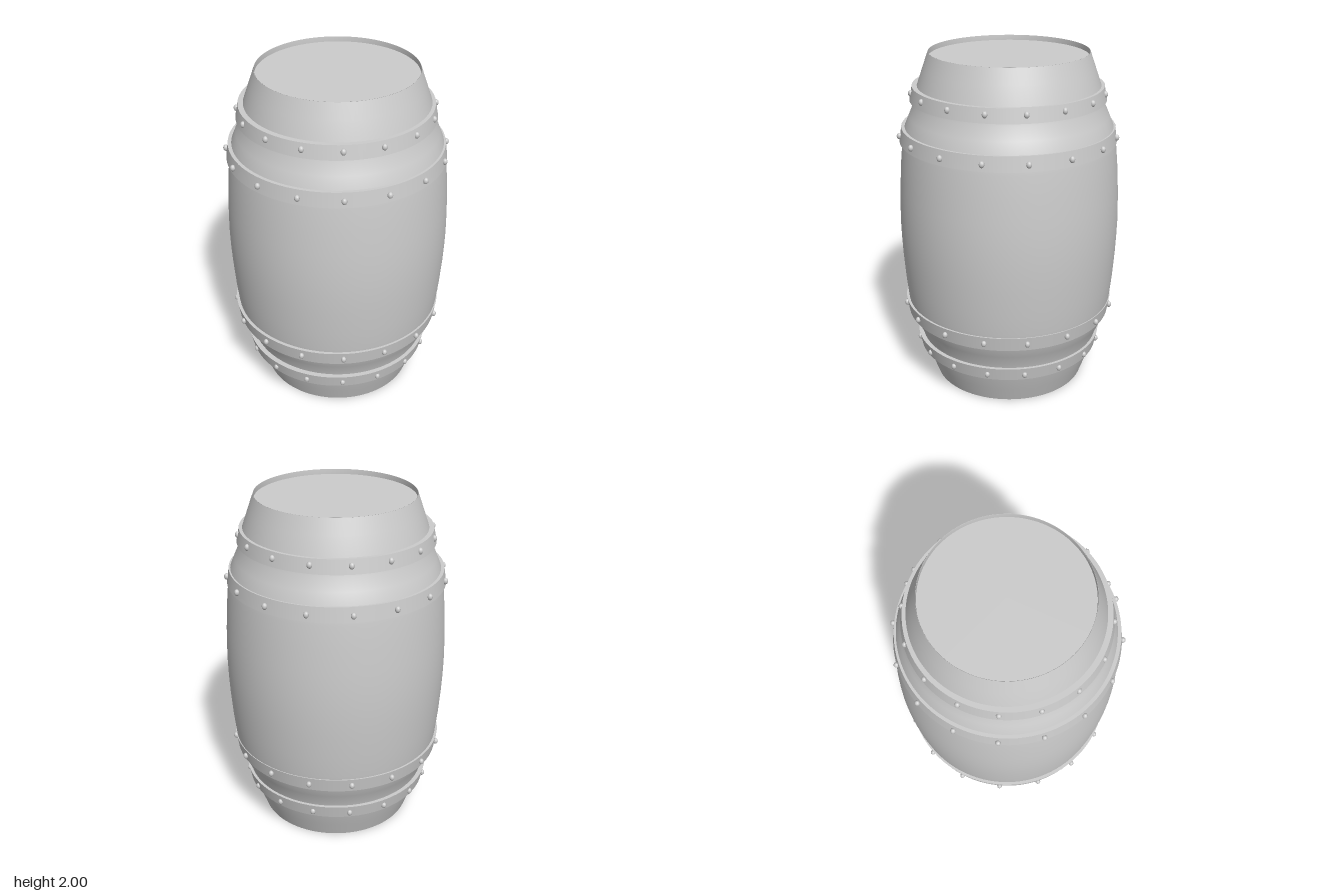
import * as THREE from 'three';

const SEGMENTS = 96;
const RIVETS = 16;
const material = new THREE.MeshStandardMaterial({ color: 0xcccccc, side: THREE.DoubleSide });

// Revolve [radius, y] points; each profile run gets its own smooth normals
function lathe(points, name) {
  const geometry = new THREE.LatheGeometry(points.map(([r, y]) => new THREE.Vector2(r, y)), SEGMENTS);
  const mesh = new THREE.Mesh(geometry, material);
  mesh.name = name;
  return mesh;
}

// Bulging side wall: lower half profile mirrored about y = 1
function createStaves() {
  const half = [[0.455, 0], [0.487, 0.09], [0.522, 0.19], [0.533, 0.24], [0.542, 0.29],
    [0.573, 0.36], [0.602, 0.43], [0.612, 0.48], [0.619, 0.53], [0.631, 0.65], [0.641, 0.8], [0.645, 0.9]];
  const upper = half.map(([r, y]) => [r, 2 - y]).reverse();
  return lathe([...half, [0.647, 1], ...upper], 'staves');
}

// Recessed lid with its thin inner rim
function createLid(top) {
  const group = new THREE.Group();
  group.name = top ? 'topLid' : 'bottomLid';
  const edge = top ? 2 : 0;
  const inset = top ? 1.97 : 0.03;
  const disc = new THREE.Mesh(new THREE.CircleGeometry(0.455, SEGMENTS), material);
  disc.name = 'lidDisc';
  disc.rotation.x = top ? -Math.PI / 2 : Math.PI / 2;
  disc.position.y = inset;
  group.add(disc, lathe([[0.453, inset], [0.453, edge], [0.455, edge]], 'lidRim'));
  return group;
}

// Sloping iron hoop with a ring of domed rivets, drawn for the upper half
function createHoop({ name, y0, y1, rLow, rHigh, inner, rivetRadius, rivetY }, top) {
  const group = new THREE.Group();
  group.name = (top ? 'top' : 'bottom') + name;
  const flip = (y) => (top ? y : 2 - y);
  const parts = [
    [[inner[0], y0], [rLow, y0]],
    [[rLow, y0], [rHigh, y1]],
    [[rHigh, y1], [inner[1], y1]],
  ];
  for (const part of parts) {
    const run = part.map(([r, y]) => [r, flip(y)]);
    group.add(lathe(top ? run : run.reverse(), 'hoopBand'));
  }
  const rivetGeometry = new THREE.SphereGeometry(0.017, 12, 8);
  for (let i = 0; i < RIVETS; i++) {
    const angle = ((i + 0.5) / RIVETS) * Math.PI * 2 - THREE.MathUtils.degToRad(17);
    const rivet = new THREE.Mesh(rivetGeometry, material);
    rivet.name = 'rivet';
    rivet.scale.set(0.9, 1.1, 0.9);
    rivet.position.set(Math.cos(angle) * rivetRadius, flip(rivetY), Math.sin(angle) * rivetRadius);
    rivet.rotation.y = -angle;
    group.add(rivet);
  }
  group.position.x = -0.007;
  return group;
}

export function createModel() {
  const barrel = new THREE.Group();
  barrel.name = 'barrel';
  barrel.add(createStaves());
  const hoops = [
    { name: 'EndHoop', y0: 1.73, y1: 1.81, rLow: 0.562, rHigh: 0.546, inner: [0.53, 0.515], rivetRadius: 0.554, rivetY: 1.775 },
    { name: 'BellyHoop', y0: 1.49, y1: 1.575, rLow: 0.628, rHigh: 0.615, inner: [0.605, 0.595], rivetRadius: 0.628, rivetY: 1.53 },
  ];
  for (const top of [true, false]) {
    barrel.add(createLid(top));
    for (const hoop of hoops) barrel.add(createHoop(hoop, top));
  }
  return barrel;
}
